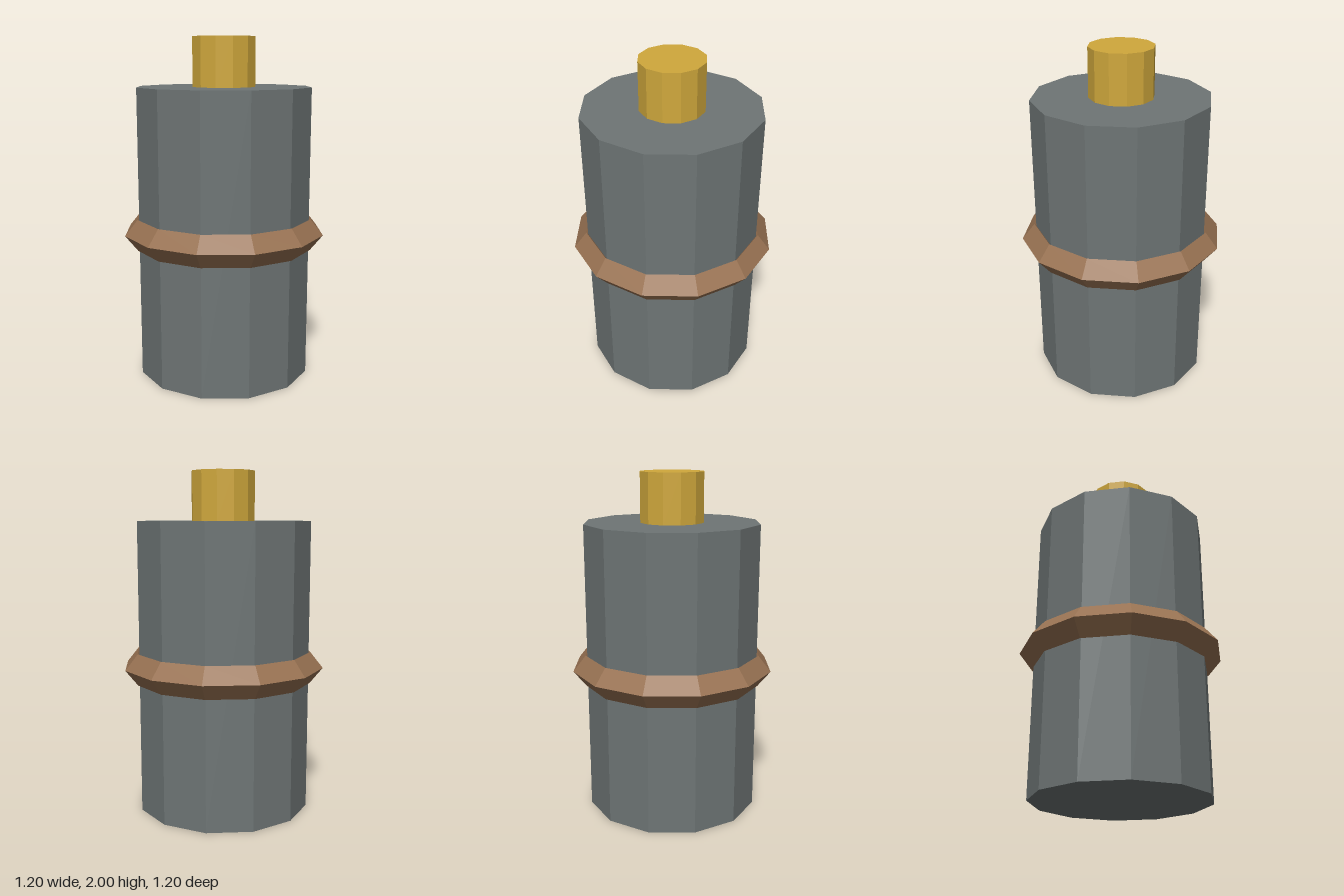
import * as THREE from 'three';

const SIDES = 12;

function flatMaterial(name, color) {
  const material = new THREE.MeshStandardMaterial({ color });
  material.name = name;
  return material;
}

export function createModel() {
  const grey = flatMaterial('steelGrey', 0x6e7575);
  const brown = flatMaterial('copperBrown', 0x987252);
  const gold = flatMaterial('brassGold', 0xd0a83c);

  const model = new THREE.Group();
  model.name = 'canister';

  // Adds a faceted part with hard edges between its faces
  function addPart(name, geometry, material, y) {
    const faceted = geometry.index ? geometry.toNonIndexed() : geometry;
    faceted.computeVertexNormals();
    const mesh = new THREE.Mesh(faceted, material);
    mesh.name = name;
    mesh.position.y = y;
    model.add(mesh);
  }

  // Main body
  addPart('body', new THREE.CylinderGeometry(0.514, 0.514, 1.714, SIDES), grey, 0.857);

  // Stub on the top
  addPart('topStub', new THREE.CylinderGeometry(0.187, 0.187, 0.286, SIDES), gold, 1.857);

  // Diamond-section band around the middle
  const bandProfile = [
    [0.449, 0], [0.524, -0.093], [0.599, 0], [0.524, 0.093], [0.449, 0],
  ].map(([r, y]) => new THREE.Vector2(r, y));
  addPart('band', new THREE.LatheGeometry(bandProfile, SIDES), brown, 0.858);

  return model;
}
